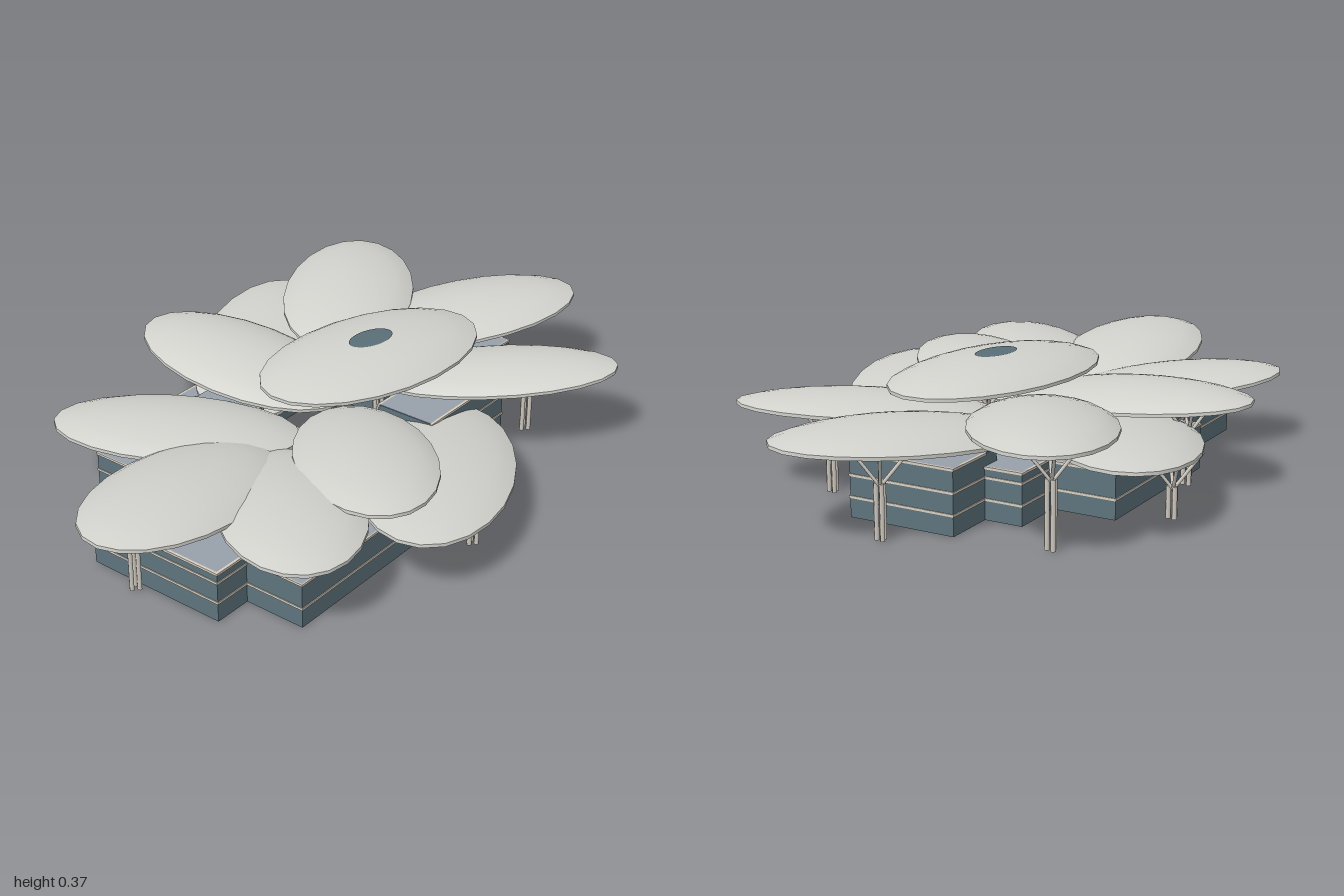
import * as THREE from 'three';
import { mergeGeometries } from 'three/addons/utils/BufferGeometryUtils.js';

const mat = (name, color) => {
  const m = new THREE.MeshStandardMaterial({ color });
  m.name = name;
  return m;
};

export function createModel() {
  const model = new THREE.Group();
  model.name = 'petalRoofedBuilding';
  const canopyMat = mat('canopy pale grey', 0xd2d2cd);
  const wallMat = mat('blue grey wall', 0x5e747e);
  const bandMat = mat('beige band', 0xd8cfbf);
  const roofMat = mat('flat roof grey', 0x98a1ab);
  const postMat = mat('post stone', 0xd2ccc1);
  const glassMat = mat('skylight glass', 0x5a6f78);

  const add = (parent, geo, material, name) => {
    const mesh = new THREE.Mesh(geo, material);
    mesh.name = name;
    parent.add(mesh);
    return mesh;
  };

  // ---- Building: stepped wings around a courtyard, turned ten degrees
  const building = new THREE.Group();
  building.name = 'building';
  building.rotation.y = THREE.MathUtils.degToRad(10);
  model.add(building);

  // Straight wall along x or z from base to top
  const slab = (x0, z0, x1, z1, y0, y1, thick, material, name) => {
    const geo = new THREE.BoxGeometry(Math.abs(x1 - x0) + thick, y1 - y0, Math.abs(z1 - z0) + thick);
    add(building, geo, material, name).position.set((x0 + x1) / 2, (y0 + y1) / 2, (z0 + z1) / 2);
  };

  // Closed loop of walls; each point holds x, z and the height of the wall leaving it
  const wallLoop = (points) => points.forEach(([x0, z0, h], i) => {
    const [x1, z1] = points[(i + 1) % points.length];
    slab(x0, z0, x1, z1, 0, h, 0.003, wallMat, 'wall');
    const levels = h > 0.145 ? [0.055, 0.117, h - 0.006] : [0.055, h - 0.006];
    for (const y of levels) slab(x0, z0, x1, z1, y, y + 0.007, 0.008, bandMat, 'band');
  });
  wallLoop([
    [-0.173, 0.825, 0.15], [0.27, 0.825, 0.15],
    [0.27, 0.71, 0.135], [0.458, 0.71, 0.135], [0.458, -0.09, 0.135],
    [0.29, -0.09, 0.185], [0.29, -0.46, 0.185],
    [0.17, -0.46, 0.187], [0.17, -0.67, 0.187], [-0.155, -0.67, 0.187],
    [-0.155, -0.51, 0.15], [-0.27, -0.51, 0.15],
    [-0.27, -0.34, 0.138], [-0.462, -0.34, 0.138], [-0.462, 0.2, 0.138],
    [-0.367, 0.2, 0.175], [-0.367, 0.61, 0.175],
    [-0.173, 0.61, 0.15],
  ]);
  // Courtyard side
  wallLoop([
    [-0.27, 0.12, 0.175], [-0.173, 0.12, 0.15], [0.1, 0.12, 0.135],
    [0.1, -0.09, 0.185], [0.1, -0.45, 0.187], [-0.08, -0.45, 0.15],
    [-0.08, -0.3, 0.15], [-0.27, -0.3, 0.138],
  ]);
  // Short walls where one roof rises above the next
  for (const [x0, z0, x1, z1, y0, y1] of [
    [0.27, 0.12, 0.27, 0.71, 0.135, 0.15],
    [-0.173, 0.12, -0.173, 0.61, 0.15, 0.175],
    [-0.367, 0.12, -0.27, 0.12, 0.138, 0.175],
    [-0.367, 0.12, -0.367, 0.2, 0.138, 0.175],
    [0.1, -0.09, 0.29, -0.09, 0.135, 0.185],
    [-0.155, -0.45, -0.08, -0.45, 0.15, 0.187],
    [-0.155, -0.51, -0.155, -0.45, 0.15, 0.187],
  ]) slab(x0, z0, x1, z1, y0, y1, 0.003, wallMat, 'upperWall');

  // Flat roofs: name, left, right, back, front, height
  for (const [name, x0, x1, z0, z1, h] of [
    ['frontWing', -0.173, 0.27, 0.12, 0.825, 0.15],
    ['leftWing', 0.27, 0.458, -0.09, 0.71, 0.135],
    ['innerLeftWing', 0.1, 0.27, -0.09, 0.12, 0.135],
    ['frontRightWing', -0.367, -0.173, 0.12, 0.61, 0.175],
    ['rightWing', -0.462, -0.27, -0.34, 0.2, 0.138],
    ['rearLeftWing', 0.1, 0.29, -0.46, -0.09, 0.185],
    ['rearRightWing', -0.27, -0.08, -0.51, -0.3, 0.15],
    ['rearWing', -0.155, 0.17, -0.67, -0.45, 0.187],
  ]) {
    const roof = add(building, new THREE.BoxGeometry(x1 - x0, 0.006, z1 - z0), roofMat, name + 'Roof');
    roof.position.set((x0 + x1) / 2, h - 0.002, (z0 + z1) / 2);
  }

  // ---- Petal canopies: shallow elliptical domes with a thin rim
  const RIM = 0.01, SEG = 22;
  const dome = (radius, rise, lift) => {
    const pts = [];
    for (let i = 0; i <= 8; i++) {
      const r = radius * (1 - i / 8);
      pts.push(new THREE.Vector2(r, lift + rise * Math.pow(1 - r * r, 0.8)));
    }
    return new THREE.LatheGeometry(pts, SEG);
  };
  const petalGeometry = (a, b, rise) => {
    const v = (x, y) => new THREE.Vector2(x, y);
    const g = mergeGeometries([
      dome(1, rise, RIM),
      new THREE.LatheGeometry([v(1, 0), v(1, RIM)], SEG),
      new THREE.LatheGeometry([v(0, 0), v(1, 0)], SEG),
    ]);
    g.scale(b, 1, a);
    return g;
  };

  // ---- Branching supports: three slim posts and a spread of struts
  const strut = (parent, from, to, r, name) => {
    const dir = to.clone().sub(from);
    const mesh = add(parent, new THREE.CylinderGeometry(r, r, dir.length(), 6), postMat, name);
    mesh.position.copy(from).add(to).multiplyScalar(0.5);
    mesh.quaternion.setFromUnitVectors(new THREE.Vector3(0, 1, 0), dir.normalize());
  };
  const support = (x, z, base, heightAt) => {
    const tree = new THREE.Group();
    tree.name = 'branchingSupport';
    const fork = Math.max(base + 0.01, heightAt(x, z) - 0.09);
    for (let i = 0; i < 3; i++) {
      const t = (i / 3) * Math.PI * 2;
      const px = x + 0.012 * Math.sin(t), pz = z + 0.012 * Math.cos(t);
      strut(tree, new THREE.Vector3(px, base, pz), new THREE.Vector3(px, fork, pz), 0.007, 'post');
    }
    for (let i = 0; i < 4; i++) {
      const t = ((i + 0.5) / 4) * Math.PI * 2;
      const bx = x + 0.08 * Math.sin(t), bz = z + 0.08 * Math.cos(t);
      strut(tree, new THREE.Vector3(x, fork - 0.01, z),
        new THREE.Vector3(bx, heightAt(bx, bz) + 0.003, bz), 0.005, 'branch');
    }
    model.add(tree);
  };

  // name, centre x, z, direction x, z, half length, half width,
  // rim height, tilt, dome rise, support x, z, support base
  const petals = [
    ['centreCanopy', 0.007, -0.14, 0, 1, 0.385, 0.227, 0.303, 0, 0.052, 0.02, -0.16, 0],
    ['backPetal', -0.1, -0.65, 0.36, -0.93, 0.37, 0.2, 0.24, 0.07, 0.05, -0.14, -0.77, 0],
    ['backLeftPetal', 0.228, -0.448, 0.68, -0.73, 0.365, 0.16, 0.225, 0.07, 0.04, 0.25, -0.565, 0],
    ['backRightPetal', -0.393, -0.414, -0.66, -0.75, 0.36, 0.205, 0.272, 0.06, 0.05, -0.53, -0.545, 0],
    ['lowRightPetal', -0.437, -0.1, -0.64, -0.77, 0.42, 0.21, 0.17, 0.08, 0.045, -0.622, -0.14, 0],
    ['lowLeftPetal', 0.423, -0.01, 0.64, 0.77, 0.43, 0.223, 0.148, 0.06, 0.045, 0.59, 0.01, 0],
    ['rightPetal', -0.32, 0.08, -0.985, 0.17, 0.367, 0.203, 0.235, 0.07, 0.05, -0.48, 0.13, 0],
    ['frontRightPetal', -0.19, 0.432, -0.66, 0.75, 0.355, 0.187, 0.187, 0.08, 0.045, -0.28, 0.53, 0.16],
    ['frontPetal', 0.115, 0.654, 0.28, 0.96, 0.357, 0.213, 0.203, 0.08, 0.05, 0.145, 0.838, 0],
    ['frontLeftPetal', 0.352, 0.465, 0.83, 0.56, 0.355, 0.205, 0.185, 0.07, 0.045, 0.44, 0.55, 0.12],
    ['leftPetal', 0.318, 0.165, 0.85, 0.53, 0.34, 0.2, 0.206, 0.07, 0.045, 0.45, 0.25, 0.12],
  ];
  for (const [name, cx, cz, dx, dz, a, b, y, tilt, rise, tx, tz, base] of petals) {
    const petal = add(model, petalGeometry(a, b, rise), canopyMat, name);
    petal.position.set(cx, y, cz);
    petal.rotation.set(-tilt, Math.atan2(dx, dz), 0, 'YXZ');
    const len = Math.hypot(dx, dz);
    support(tx, tz, base, (x, z) =>
      y + Math.tan(tilt) * ((x - cx) * dx + (z - cz) * dz) / len);
  }

  // ---- Oval skylight following the crown of the centre canopy
  const skylight = dome(0.2, 0.052, RIM + 0.002);
  skylight.scale(0.227, 1, 0.385);
  add(model, skylight, glassMat, 'skylight').position.set(0.007, 0.303, -0.14);

  return model;
}
